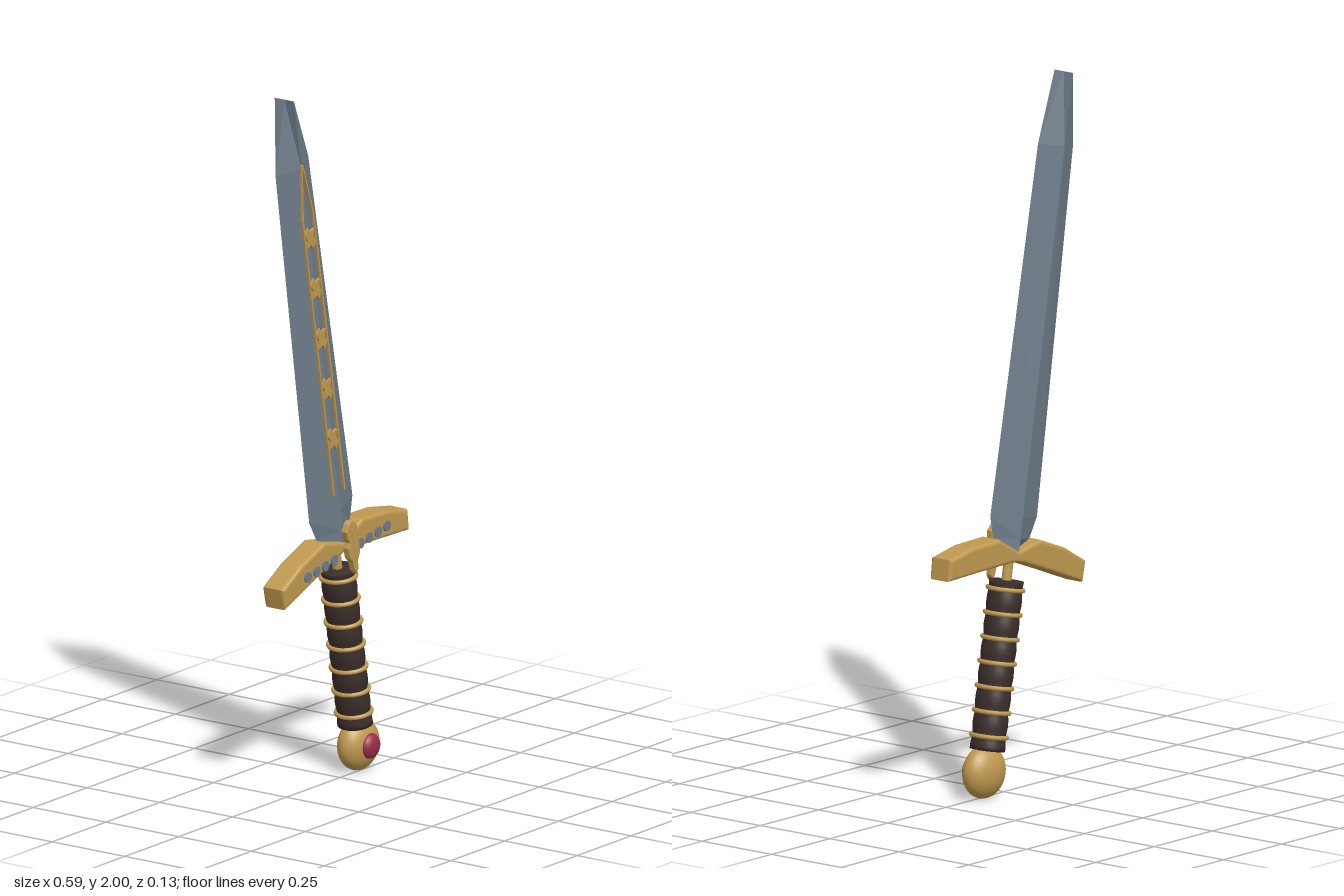
import * as THREE from 'three';

const material = (name, color) => {
  const m = new THREE.MeshStandardMaterial({ color });
  m.name = name;
  return m;
};

const polygon = (points) => new THREE.Shape(points.map(([x, y]) => new THREE.Vector2(x, y)));

// Mirrors a right-hand outline (listed top to bottom) into a closed symmetric shape
const symmetric = (half) =>
  polygon([...half, ...half.filter(([x]) => x > 0).reverse().map(([x, y]) => [-x, y])]);

// Diamond cross-sections with a constant-depth central ridge
function bladeGeometry(rows, ridge) {
  const ring = ([y, w]) => [[w, y, 0], [0, y, ridge], [-w, y, 0], [0, y, -ridge]];
  const pos = [];
  for (let i = 0; i < rows.length - 1; i++) {
    const a = ring(rows[i]), b = ring(rows[i + 1]);
    for (let k = 0; k < 4; k++) {
      const n = (k + 1) % 4;
      // facing outward: right edge, ridge, left edge, back ridge run clockwise from above
      pos.push(...a[k], ...b[k], ...b[n], ...a[k], ...b[n], ...a[n]);
    }
  }
  const base = ring(rows[0]);
  pos.push(...base[0], ...base[1], ...base[2], ...base[0], ...base[2], ...base[3]);
  const g = new THREE.BufferGeometry();
  g.setAttribute('position', new THREE.Float32BufferAttribute(pos, 3));
  g.computeVertexNormals();
  return g;
}

export function createModel() {
  const steel = material('steel', 0x6f7e8b);
  const gold = material('gold', 0xc0994f);
  const leather = material('dark leather', 0x3a2e2b);
  const ruby = material('ruby', 0x9a2c46);

  const sword = new THREE.Group();
  sword.name = 'sword';
  const add = (name, geometry, mat, x = 0, y = 0, z = 0, parent = sword) => {
    const m = new THREE.Mesh(geometry, mat);
    m.name = name;
    m.position.set(x, y, z);
    parent.add(m);
    return m;
  };

  // Blade, its tip ending in a chisel edge
  const bladeSteel = steel;
  bladeSteel.side = THREE.DoubleSide;
  add('blade', bladeGeometry(
    [[0.03, 0.02], [0.08, 0.08], [0.14, 0.102], [1.18, 0.077], [1.383, 0]], 0.033), bladeSteel);

  // Gold inlay lines that converge near the tip
  for (const s of [-1, 1]) {
    const line = [[0.022, 0.195], [0.028, 0.195], [0.028, 1.03], [0.003, 1.19], [-0.001, 1.19], [0.022, 1.03]];
    add('bladeInlay', new THREE.ExtrudeGeometry(polygon(line.map(([x, y]) => [s * x, y])),
      { depth: 0.007, bevelEnabled: false }), gold, 0, 0, 0.031);
  }

  // Zigzag runes along the ridge
  const rune = new THREE.ExtrudeGeometry(polygon([
    [-0.006, 0.034], [-0.002, 0.02], [0.02, 0.024], [0.013, 0.002], [0.022, -0.016],
    [0.006, -0.034], [0.002, -0.02], [-0.02, -0.024], [-0.013, -0.002], [-0.022, 0.016],
  ]), { depth: 0.007, bevelEnabled: false });
  for (let i = 0; i < 5; i++) add('rune', rune, gold, 0, 0.36 + i * 0.152, 0.031);

  // Winged crossguard with a V notch holding the blade
  const bevel = 0.01;
  const guard = new THREE.ExtrudeGeometry(symmetric([
    [0, 0.036], [0.09, 0.069], [0.2, 0.047], [0.286, 0.015], [0.284, -0.028], [0.15, 0], [0.03, 0.023], [0, 0.026],
  ]), { depth: 0.074 - 2 * bevel, bevelThickness: bevel, bevelSize: bevel, bevelSegments: 3 });
  add('crossguard', guard, gold, 0, 0, -0.037 + bevel);

  // Steel studs along both wings
  const stud = new THREE.CylinderGeometry(0.015, 0.015, 0.005, 16).rotateX(Math.PI / 2);
  for (const s of [-1, 1])
    for (let i = 0; i < 4; i++) add('guardStud', stud, steel, s * (0.062 + i * 0.0415), 0.018, 0.042);

  // Leaf-shaped ornament over the guard
  const ornament = new THREE.ExtrudeGeometry(symmetric([
    [0, 0.113], [0.012, 0.107], [0.024, 0.09], [0.02, 0.068], [0.014, 0.055],
    [0.023, 0.04], [0.021, 0.012], [0.009, -0.005], [0.006, -0.03], [0, -0.04],
  ]), { depth: 0.014, bevelThickness: 0.003, bevelSize: 0.003, bevelSegments: 2 });
  add('guardOrnament', ornament, gold, 0, 0, 0.051);
  add('ornamentRib', new THREE.CapsuleGeometry(0.005, 0.09, 4, 8), gold, 0, 0.045, 0.065);

  // Neck joining grip and guard
  add('neck', new THREE.CylinderGeometry(0.014, 0.014, 0.09, 12), gold, 0, -0.005, 0);

  // Oval leather grip, softly swelling between its gold rings
  const grip = new THREE.Group();
  grip.name = 'grip';
  grip.scale.x = 0.92;
  sword.add(grip);
  const top = -0.038, bottom = -0.512, first = -0.062, step = 0.0685;
  const profile = [new THREE.Vector2(0, bottom)];
  for (let i = 0; i <= 42; i++) {
    const y = bottom + (top - bottom) * i / 42;
    profile.push(new THREE.Vector2(0.047 + 0.004 * Math.abs(Math.sin(Math.PI * (y - first) / step)), y));
  }
  profile.push(new THREE.Vector2(0, top));
  add('leatherGrip', new THREE.LatheGeometry(profile, 28), leather, 0, 0, 0, grip);
  const ring = new THREE.TorusGeometry(0.051, 0.0065, 8, 32).rotateX(Math.PI / 2);
  for (let i = 0; i < 7; i++) add('gripRing', ring, gold, 0, first - i * step, 0, grip);

  // Flattened pommel with a set gem
  add('pommel', new THREE.SphereGeometry(0.075, 32, 20), gold, 0.004, -0.573, 0).scale.z = 0.64;
  add('pommelGem', new THREE.SphereGeometry(0.036, 20, 14), ruby, 0.004, -0.573, 0.042).scale.z = 0.58;

  // Lean the whole sword
  sword.position.set(-0.008, 0.64, -0.008);
  sword.rotation.z = THREE.MathUtils.degToRad(10);
  const model = new THREE.Group();
  model.name = 'leaningSword';
  model.add(sword);
  return model;
}
